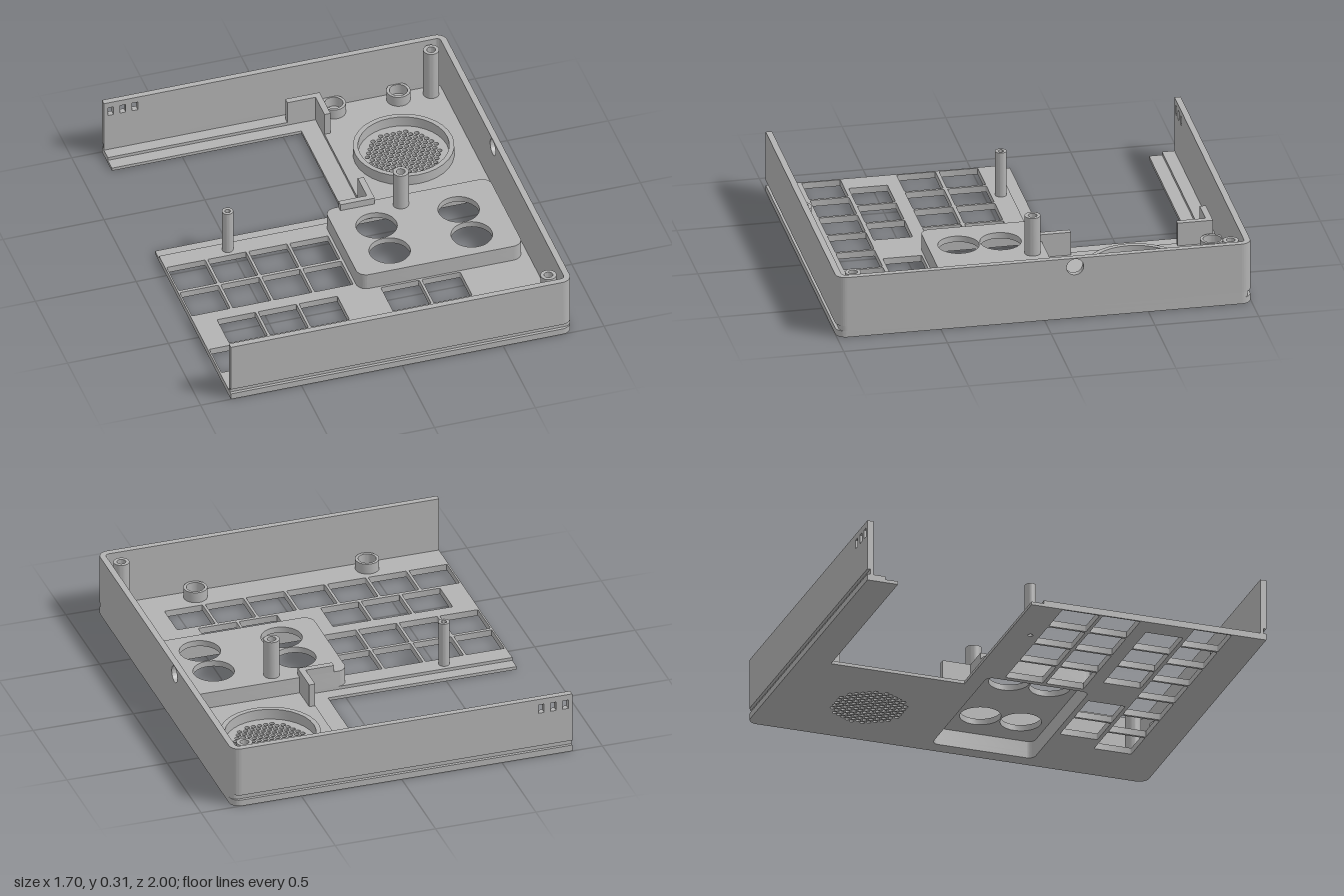
import * as THREE from 'three';
import { toCreasedNormals } from 'three/addons/utils/BufferGeometryUtils.js';

const L = -0.85, R = 0.845, H = 0.31; // left edge, right edge, wall height
const FLOOR = 0.032, LIP = 0.016, GROOVE = 0.058, WALL = 0.03;
const PANEL_TOP = 0.115;
const KEY = 0.19, PITCH = 0.203;

export function createModel() {
  const model = new THREE.Group();
  const grey = new THREE.MeshStandardMaterial({ color: 0xb2b2b2 });
  grey.name = 'grey plastic';

  const add = (name, geometry) => {
    const mesh = new THREE.Mesh(toCreasedNormals(geometry, 0.6), grey);
    mesh.name = name;
    model.add(mesh);
    return mesh;
  };
  // Plan shapes are drawn with shape y = -z, then raised from y0 to y1
  const slab = (name, shape, y0, y1, curveSegments = 12) => {
    const g = new THREE.ExtrudeGeometry(shape, { depth: y1 - y0, bevelEnabled: false, curveSegments });
    return add(name, g.rotateX(-Math.PI / 2).translate(0, y0, 0));
  };
  const circle = (x, z, r, Type = THREE.Path) => new Type().absarc(x, -z, r, 0, Math.PI * 2, false);
  const polygon = (points, Type = THREE.Shape) =>
    new Type(points.map(([x, z]) => new THREE.Vector2(x, -z)));
  const rounded = (x0, z0, x1, z1, r, Type = THREE.Path) => {
    const p = new Type();
    p.absarc(x1 - r, -z0 - r, r, 0, Math.PI / 2, false);
    p.absarc(x0 + r, -z0 - r, r, Math.PI / 2, Math.PI, false);
    p.absarc(x0 + r, -z1 + r, r, Math.PI, Math.PI * 1.5, false);
    p.absarc(x1 - r, -z1 + r, r, Math.PI * 1.5, Math.PI * 2, false);
    p.closePath();
    return p;
  };
  const tube = (name, x, z, outer, inner, y0, y1) => {
    const s = circle(x, z, outer, THREE.Shape);
    s.holes.push(circle(x, z, inner));
    slab(name, s, y0, y1, 16);
  };

  // C-shaped outline, open on the left between z0 and z1 as far as x = xi
  const outline = (hz, r, z0, z1, xi, innerR = 0) => {
    const s = new THREE.Shape();
    s.moveTo(L, -hz);
    s.lineTo(R - r, -hz);
    s.absarc(R - r, -hz + r, r, -Math.PI / 2, 0, false);
    s.absarc(R - r, hz - r, r, 0, Math.PI / 2, false);
    s.lineTo(L, hz);
    s.lineTo(L, -z0);
    if (innerR) {
      s.absarc(xi - innerR, -z0 - innerR, innerR, Math.PI / 2, 0, true);
      s.absarc(xi - innerR, -z1 + innerR, innerR, 0, -Math.PI / 2, true);
    } else {
      s.lineTo(xi, -z0);
      s.lineTo(xi, -z1);
    }
    s.lineTo(L, -z1);
    s.closePath();
    return s;
  };

  // Cut-outs shared by both floor layers: keys, pocket, screw hole, grille
  const cutOuts = () => {
    const holes = [];
    const keyRows = [[-0.842, -0.02, 4], [-0.842, 0.184, 4], [-0.738, 0.436, 3],
      [0.074, 0.436, 2], [-0.842, 0.642, 7]];
    for (const [x, z, count] of keyRows)
      for (let i = 0; i < count; i++)
        holes.push(rounded(x + i * PITCH, z, x + i * PITCH + KEY, z + 0.187, 0.006));
    holes.push(rounded(-0.015, -0.1, 0.77, 0.41, 0.035));
    holes.push(circle(-0.525, -0.067, 0.013));
    const step = 0.031;
    for (let row = -6; row <= 6; row++)
      for (let col = -7; col <= 7; col++) {
        const x = (col + (row % 2 ? 0.5 : 0)) * step, z = row * step * 0.866;
        if (Math.hypot(x, z) < 0.182) holes.push(circle(0.49 + x, -0.513 + z, 0.0115));
      }
    return holes;
  };

  // Floor: lower layer carries a lip around the display opening
  const lower = outline(1, 0.05, -0.847, -0.177, 0.09);
  const upper = outline(1, 0.05, -0.91, -0.115, 0.18);
  lower.holes = cutOuts();
  upper.holes = cutOuts();
  slab('floorLip', lower, 0, LIP, 7);
  slab('floor', upper, LIP, FLOOR, 7);

  // Grooved band at the foot of the walls
  slab('grooveBand', outline(0.985, 0.035, -0.97, 0.97, R - WALL, 0.02), FLOOR, GROOVE);

  // Front and back walls; the back one has three small slots
  for (const side of [1, -1]) {
    const s = new THREE.Shape([[L, GROOVE], [0.795, GROOVE], [0.795, H], [L, H]]
      .map((p) => new THREE.Vector2(...p)));
    if (side < 0)
      for (let i = 0; i < 3; i++) {
        const x = -0.83 + i * 0.06, w = 0.028;
        s.holes.push(new THREE.Path([[x, 0.235], [x, 0.28], [x + w, 0.28], [x + w, 0.235]]
          .map((p) => new THREE.Vector2(...p))));
      }
    const g = new THREE.ExtrudeGeometry(s, { depth: WALL, bevelEnabled: false });
    add(side > 0 ? 'frontWall' : 'backWall', g.translate(0, 0, side > 0 ? 0.97 : -1));

    // Rounded wall corner
    const c = new THREE.Shape();
    const a0 = side > 0 ? -Math.PI / 2 : 0, a1 = a0 + Math.PI / 2;
    c.absarc(0.795, -side * 0.95, 0.05, a0, a1, false);
    c.absarc(0.795, -side * 0.95, 0.02, a1, a0, true);
    c.closePath();
    slab('wallCorner', c, GROOVE, H);
  }

  // Right wall with a round cable hole (drawn with shape x = -z)
  const rightShape = new THREE.Shape([[-0.95, GROOVE], [0.95, GROOVE], [0.95, H], [-0.95, H]]
    .map((p) => new THREE.Vector2(...p)));
  rightShape.holes.push(new THREE.Path().absarc(0.147, 0.265, 0.041, 0, Math.PI * 2, true));
  const rightGeo = new THREE.ExtrudeGeometry(rightShape, { depth: WALL, bevelEnabled: false, curveSegments: 20 });
  add('rightWall', rightGeo.rotateY(Math.PI / 2).translate(R - WALL, 0, 0));

  // Raised knob panel, hollow underneath
  const rim = rounded(-0.03, -0.115, 0.785, 0.425, 0.05, THREE.Shape);
  rim.holes.push(rounded(-0.015, -0.1, 0.77, 0.41, 0.035));
  slab('knobPanelRim', rim, FLOOR, PANEL_TOP - 0.03);
  const top = rounded(-0.03, -0.115, 0.785, 0.425, 0.05, THREE.Shape);
  for (const x of [0.168, 0.575])
    for (const z of [0.075, 0.278]) top.holes.push(circle(x, z, 0.098));
  slab('knobPanelTop', top, PANEL_TOP - 0.03, PANEL_TOP, 20);

  // Screw posts
  tube('cornerPost', 0.755, -0.915, 0.038, 0.021, FLOOR, 0.295);
  tube('cornerPost', 0.755, 0.905, 0.038, 0.021, FLOOR, 0.295);
  tube('panelPost', 0.327, -0.047, 0.038, 0.021, PANEL_TOP, 0.31);
  tube('keyboardPost', -0.525, -0.067, 0.027, 0.013, FLOOR, 0.26);

  // Round sockets and speaker ring
  for (const [x, z] of [[0.275, -0.923], [0.595, -0.923], [-0.473, 0.914], [0.383, 0.914]])
    tube('roundSocket', x, z, 0.057, 0.043, FLOOR, 0.085);
  tube('speakerRing', 0.49, -0.513, 0.24, 0.216, FLOOR, 0.085);

  // L-shaped brackets at the corners of the display
  slab('displayBracket', polygon([[0.04, -0.94], [0.21, -0.94], [0.21, -0.77], [0.18, -0.77],
    [0.18, -0.91], [0.04, -0.91]]), FLOOR, 0.15);
  slab('displayBracket', polygon([[0.04, -0.085], [0.21, -0.085], [0.21, -0.255], [0.18, -0.255],
    [0.18, -0.115], [0.04, -0.115]]), FLOOR, 0.15);

  return model;
}
